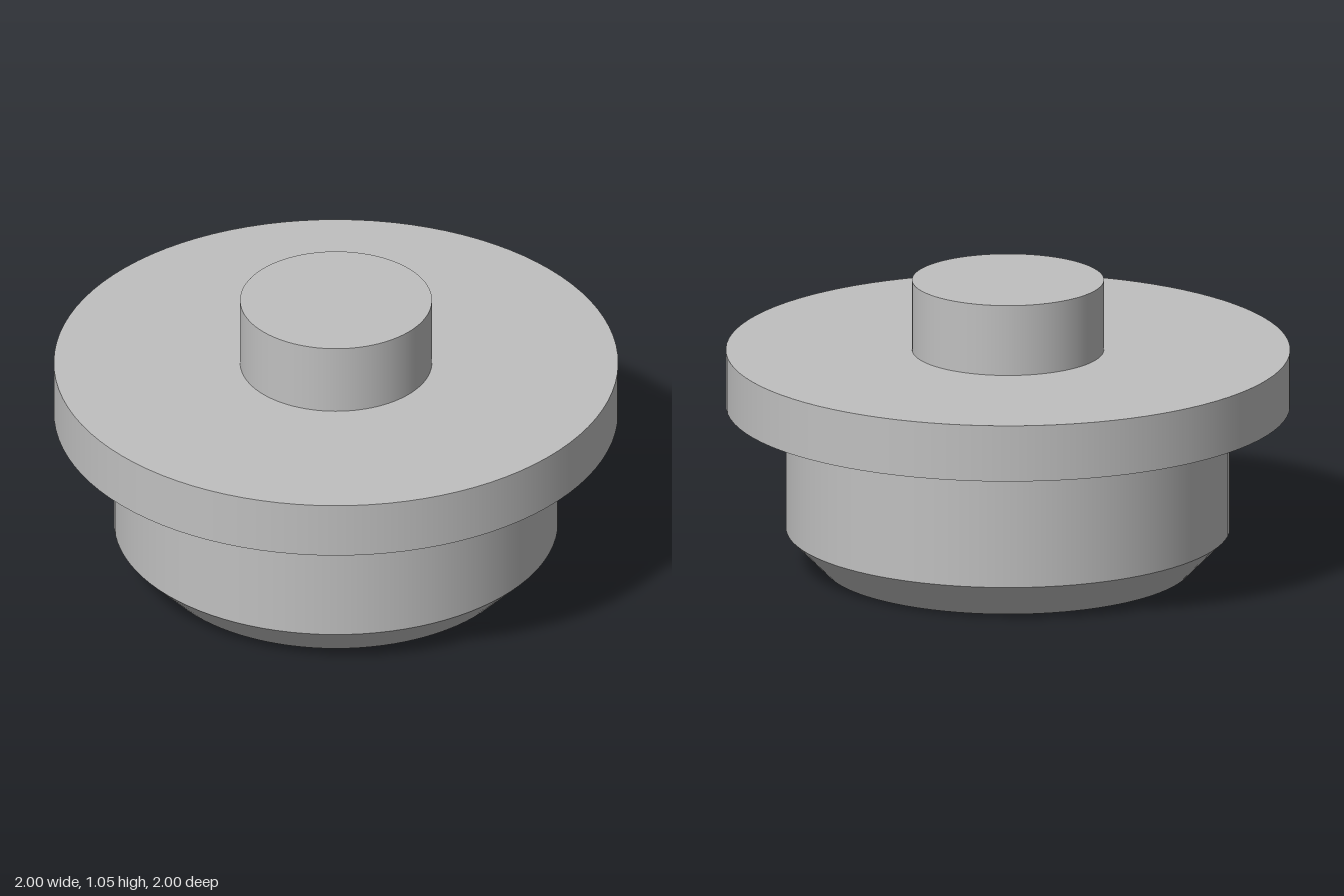
import * as THREE from 'three';

const SEGMENTS = 96;

export function createModel() {
  const grey = new THREE.MeshStandardMaterial({ color: 0xc0c0c0 });
  grey.name = 'plain grey';
  const model = new THREE.Group();
  model.name = 'steppedPlug';

  function part(name, ...meshes) {
    const group = new THREE.Group();
    group.name = name;
    group.add(...meshes);
    model.add(group);
  }

  // Open round wall between two heights
  function wall(name, bottomRadius, topRadius, y0, y1) {
    const geometry = new THREE.CylinderGeometry(topRadius, bottomRadius, y1 - y0, SEGMENTS, 1, true);
    geometry.translate(0, (y0 + y1) / 2, 0);
    const mesh = new THREE.Mesh(geometry, grey);
    mesh.name = name;
    return mesh;
  }

  // Flat disc (inner = 0) or annulus facing up or down
  function face(name, inner, outer, y, up) {
    const geometry = inner > 0
      ? new THREE.RingGeometry(inner, outer, SEGMENTS)
      : new THREE.CircleGeometry(outer, SEGMENTS);
    geometry.rotateX(up ? -Math.PI / 2 : Math.PI / 2);
    geometry.translate(0, y, 0);
    const mesh = new THREE.Mesh(geometry, grey);
    mesh.name = name;
    return mesh;
  }

  // Radii and heights of the steps
  const base = 0.655, body = 0.787, flange = 1, stem = 0.34;
  const yBevel = 0.135, yBody = 0.585, yFlange = 0.79, yTop = 1.047;

  part('bevelledBase',
    face('baseFace', 0, base, 0, false),
    wall('bevel', base, body, 0, yBevel));
  part('body', wall('bodyWall', body, body, yBevel, yBody));
  part('flange',
    face('flangeUnderside', body, flange, yBody, false),
    wall('flangeRim', flange, flange, yBody, yFlange),
    face('flangeTop', stem, flange, yFlange, true));
  part('stem',
    wall('stemWall', stem, stem, yFlange, yTop),
    face('stemTop', 0, stem, yTop, true));

  return model;
}
